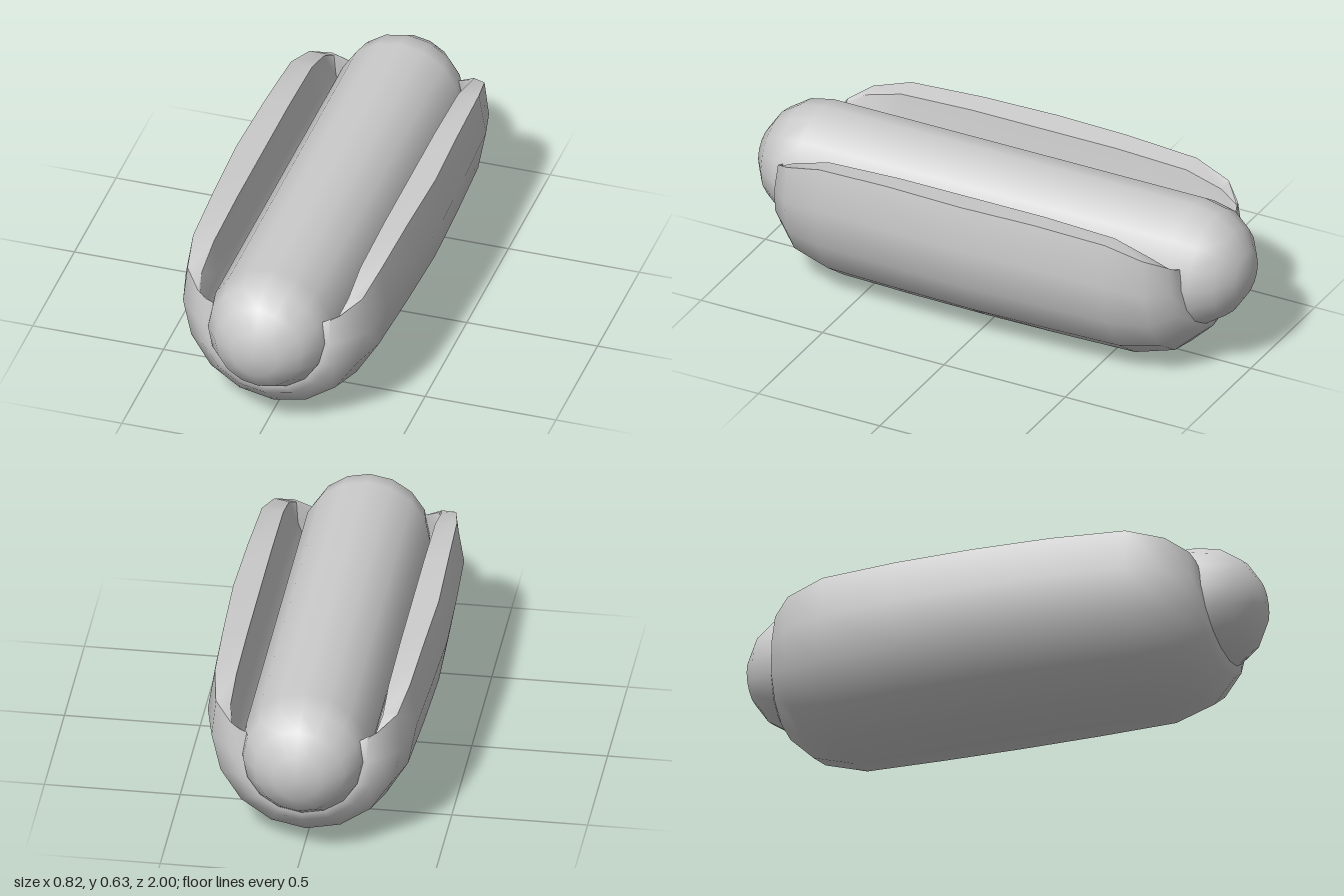
import * as THREE from 'three';
import { toCreasedNormals } from 'three/addons/utils/BufferGeometryUtils.js';

const material = () => new THREE.MeshStandardMaterial({ color: 0xcccccc });

// Half of the bun's stations: z, outer half-width, outer depth, lip angle (deg), slant of the station
const HALF = [
  [0, 0.41, 0.435, 112.5, 0],
  [0.3, 0.4, 0.435, 112.5, 0],
  [0.6, 0.385, 0.432, 111, 0.01],
  [0.755, 0.35, 0.385, 107, 0.02],
  [0.845, 0.28, 0.297, 104, 0.04],
  [0.865, 0.24, 0.262, 101, 0.05],
];
const CENTRE_Y = 0.435;
const STEPS = 10; // facets around the U

// One closed U-shaped ring: outer skin, then back along the inner skin
function bunRing([z, rx, ry, lip, slant], sign, last) {
  const outer = [], inner = [];
  for (let i = 0; i <= STEPS; i++) {
    const t = (i / STEPS) * 2 - 1;
    const a = THREE.MathUtils.degToRad(lip * t);
    const x = rx * Math.sin(a), y = CENTRE_Y - ry * Math.cos(a);
    const zz = sign * (z - slant * Math.max(0, (y - 0.15) / 0.35));
    outer.push([x, y, zz]);
    const k = last ? 0.85 : 1;
    if (Math.abs(t) === 1) {
      inner.push([t * Math.min(0.28, Math.abs(x) - 0.008) * (last ? 0.92 : 1), y - 0.01, zz]);
    } else {
      const w = Math.min(0.25 + 0.015 * Math.abs(t), rx - 0.01);
      inner.push([k * w * Math.sin(a), CENTRE_Y - k * Math.min(0.275, ry - 0.01) * Math.cos(a), zz]);
    }
  }
  return [...outer, ...inner.reverse()];
}

function bunGeometry() {
  const end = HALF.length - 1;
  const rings = [
    ...HALF.slice(1).map((s, i) => bunRing(s, -1, i + 1 === end)).reverse(),
    ...HALF.map((s, i) => bunRing(s, 1, i === end)),
  ];
  const n = rings[0].length, index = [];
  const quad = (a, b, c, d) => index.push(a, b, c, a, c, d);
  for (let s = 0; s < rings.length - 1; s++) {
    for (let i = 0; i < n; i++) {
      const j = (i + 1) % n;
      quad(s * n + i, s * n + j, (s + 1) * n + j, (s + 1) * n + i);
    }
  }
  // End faces between outer and inner skin
  const top = (rings.length - 1) * n;
  for (let i = 0; i < STEPS; i++) {
    const p = n - 1 - i;
    quad(top + i, top + i + 1, top + p - 1, top + p);
    quad(i + 1, i, p, p - 1);
  }
  const geometry = new THREE.BufferGeometry();
  geometry.setAttribute('position', new THREE.Float32BufferAttribute(rings.flat(2), 3));
  geometry.setIndex(index);
  return toCreasedNormals(geometry, THREE.MathUtils.degToRad(55));
}

export function createModel() {
  const group = new THREE.Group();
  group.name = 'hotDog';

  // Sausage lying along z
  const sausage = new THREE.Mesh(new THREE.CapsuleGeometry(0.235, 1.53, 4, 16), material());
  sausage.name = 'sausage';
  sausage.rotation.x = Math.PI / 2;
  sausage.position.y = 0.391;
  group.add(sausage);

  // Bun wrapped around the underside
  const bun = new THREE.Mesh(bunGeometry(), material());
  bun.name = 'bun';
  group.add(bun);

  return group;
}
